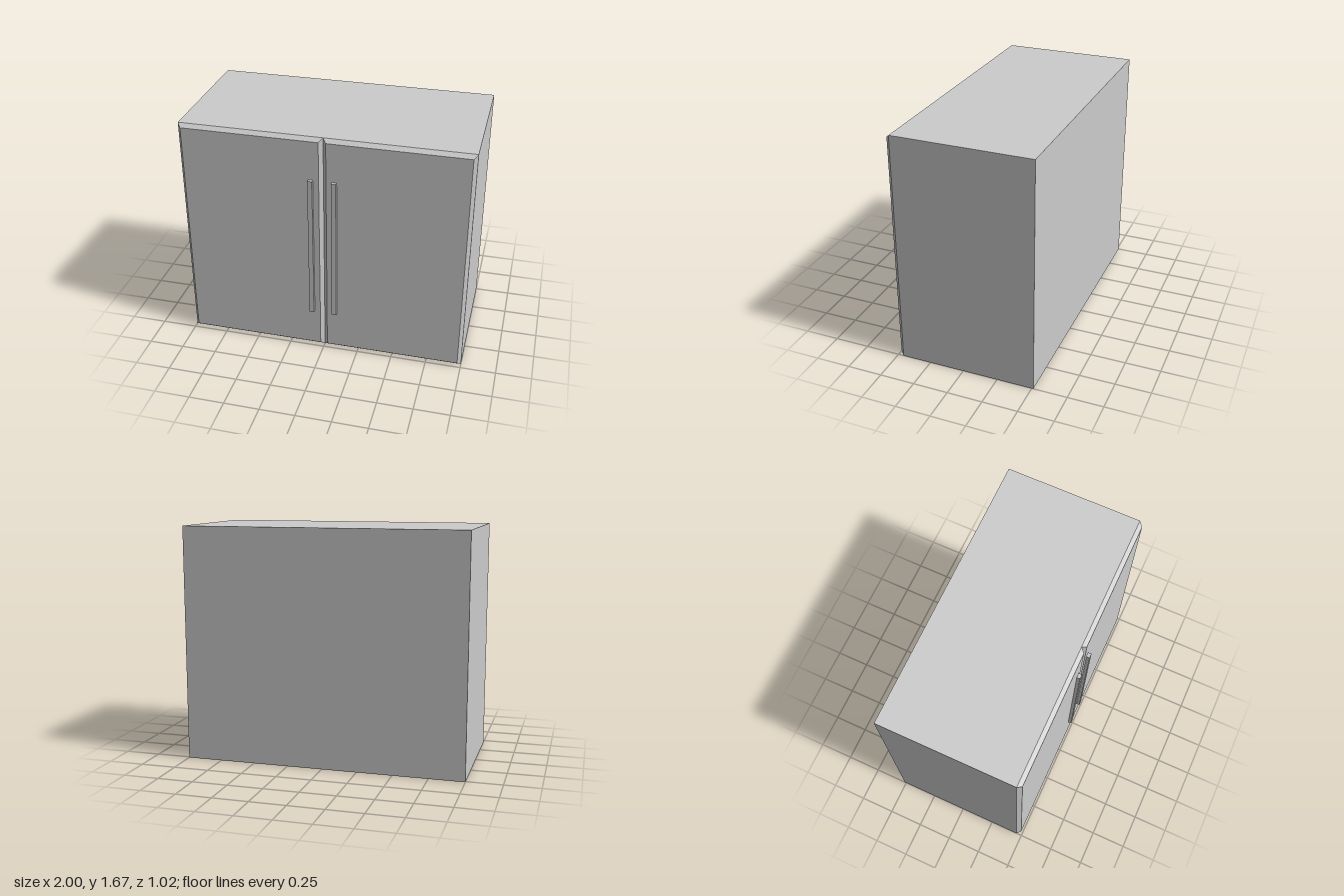
import * as THREE from 'three';

const HEIGHT = 1.666, BACK = -0.512, BODY_FRONT = 0.459, DOOR_FRONT = 0.488, HANDLE_FRONT = 0.512;
const BEVEL = 0.025;

const material = new THREE.MeshStandardMaterial({ color: 0xcccccc, flatShading: true });

// Box given by its lower and upper corners
function boxBetween(name, [x0, y0, z0], [x1, y1, z1]) {
  const geometry = new THREE.BoxGeometry(x1 - x0, y1 - y0, z1 - z0);
  const mesh = new THREE.Mesh(geometry, material);
  mesh.name = name;
  mesh.position.set((x0 + x1) / 2, (y0 + y1) / 2, (z0 + z1) / 2);
  return mesh;
}

// Pull the front corners inwards so all four front edges are chamfered
function chamferFront(mesh, inset) {
  const p = mesh.geometry.attributes.position;
  for (let i = 0; i < p.count; i++) {
    if (p.getZ(i) < 0) continue;
    p.setX(i, p.getX(i) - Math.sign(p.getX(i)) * inset);
    p.setY(i, p.getY(i) - Math.sign(p.getY(i)) * inset);
  }
  mesh.geometry.computeVertexNormals();
  return mesh;
}

export function createModel() {
  const model = new THREE.Group();
  model.name = 'cabinet';

  // Carcass
  model.add(boxBetween('cabinetBody', [-1, 0, BACK], [1, HEIGHT, BODY_FRONT]));

  // Mirrored pair of chamfered doors, each with a bar handle near the middle
  for (const [side, s] of [['left', 1], ['right', -1]]) {
    const xs = (a, b) => (s > 0 ? [a, b] : [-b, -a]);
    const [d0, d1] = xs(0, 1);
    const [h0, h1] = xs(0.065, 0.098);
    model.add(
      chamferFront(boxBetween(side + 'Door', [d0, 0, BODY_FRONT], [d1, HEIGHT, DOOR_FRONT]), BEVEL),
      boxBetween(side + 'Handle', [h0, 0.307, DOOR_FRONT], [h1, 1.363, HANDLE_FRONT])
    );
  }
  return model;
}
